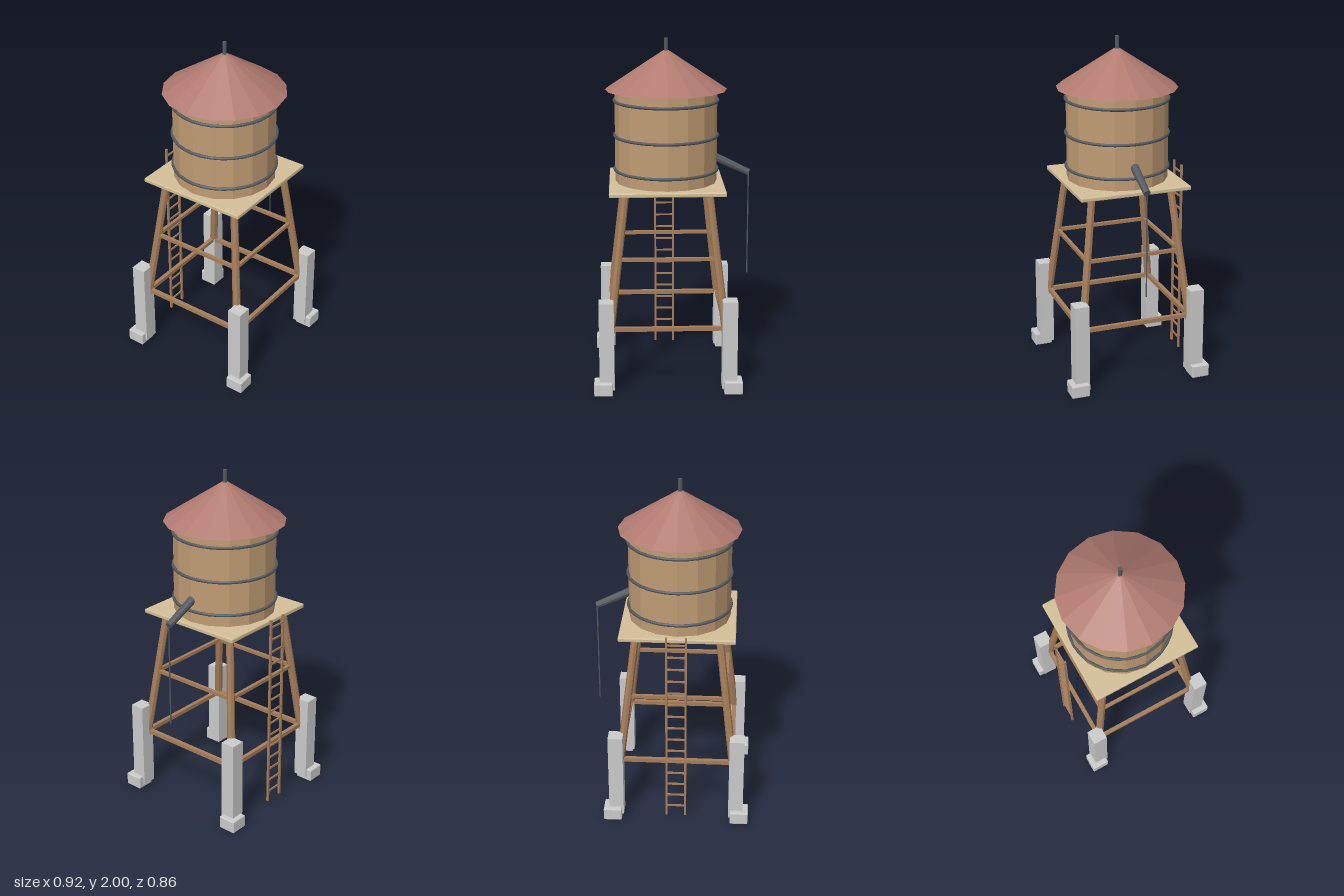
import * as THREE from 'three';
import { RoundedBoxGeometry } from 'three/addons/geometries/RoundedBoxGeometry.js';

const material = (color, flatShading = true) => new THREE.MeshStandardMaterial({ color, flatShading });
const concrete = material(0xcccccc);
const plank = material(0xd4bf98);
const barrel = material(0xc09c74);
const timber = material(0xa67e5a);
const roofing = material(0xb07a70);
const iron = material(0x555a60);
const ironSmooth = material(0x555a60, false);

export function createModel() {
  const model = new THREE.Group();
  model.name = 'waterTower';
  const tower = new THREE.Group();
  tower.name = 'tower';
  tower.position.x = -0.033;
  model.add(tower);

  const add = (name, geometry, mat, x = 0, y = 0, z = 0) => {
    const mesh = new THREE.Mesh(geometry, mat);
    mesh.name = name;
    mesh.position.set(x, y, z);
    tower.add(mesh);
    return mesh;
  };

  // Round bar from point a to point b, radius ra at a and rb at b
  const bar = (name, a, b, ra, rb, sides, mat) => {
    const start = new THREE.Vector3(...a), end = new THREE.Vector3(...b);
    const dir = end.clone().sub(start);
    const mesh = add(name, new THREE.CylinderGeometry(rb, ra, dir.length(), sides), mat);
    mesh.position.copy(start).add(end).multiplyScalar(0.5);
    mesh.quaternion.setFromUnitVectors(new THREE.Vector3(0, 1, 0), dir.normalize());
    return mesh;
  };

  // Leg distance from the tower axis at height y
  const spread = (y) => 0.238 + (1.15 - y) * 0.117;

  // Footings, pillars and splayed legs at the four corners
  for (const sx of [-1, 1]) {
    for (const sz of [-1, 1]) {
      add('footing', new RoundedBoxGeometry(0.107, 0.076, 0.107, 1, 0.006), concrete, sx * 0.374, 0.038, sz * 0.374);
      add('pillar', new THREE.BoxGeometry(0.086, 0.525, 0.086), concrete, sx * 0.353, 0.2875, sz * 0.353);
      const low = spread(0.35), high = spread(1.155);
      bar('leg', [sx * low, 0.35, sz * low], [sx * high, 1.155, sz * high], 0.024, 0.022, 8, timber);
    }
  }

  // Two rings of horizontal braces
  for (const [y, size] of [[0.373, 0.024], [0.775, 0.02]]) {
    const d = spread(y);
    for (const s of [-1, 1]) {
      add('braceAcross', new THREE.BoxGeometry(2 * d, size, size), timber, 0, y, s * d);
      add('braceAlong', new THREE.BoxGeometry(size, size, 2 * d), timber, s * d, y, 0);
    }
  }

  // Platform
  add('platform', new RoundedBoxGeometry(0.66, 0.026, 0.66, 1, 0.006), plank, 0, 1.162, 0);

  // Tank with three hoops
  add('tank', new THREE.CylinderGeometry(0.295, 0.295, 0.545, 16), barrel, 0, 1.4475, 0);
  for (const y of [1.245, 1.443, 1.645]) {
    add('hoop', new THREE.TorusGeometry(0.298, 0.009, 8, 32), ironSmooth, 0, y, 0).rotation.x = Math.PI / 2;
  }

  // Roof and finial
  add('roof', new THREE.CylinderGeometry(0.018, 0.35, 0.22, 16), roofing, 0, 1.818, 0);
  add('finial', new THREE.CylinderGeometry(0.012, 0.012, 0.09, 8), iron, 0, 1.955, 0);

  // Spout with hanging pull cord
  bar('spout', [0.24, 1.33, 0], [0.481, 1.215, 0], 0.026, 0.02, 10, iron);
  add('pullCord', new THREE.CylinderGeometry(0.004, 0.004, 0.61, 6), iron, 0.481, 0.905, 0);

  // Ladder on the back
  for (const s of [-1, 1]) {
    add('ladderRail', new THREE.BoxGeometry(0.012, 1.185, 0.013), timber, s * 0.055, 0.6205, -0.385);
  }
  for (let i = 0; i < 15; i++) {
    add('ladderRung', new THREE.BoxGeometry(0.11, 0.01, 0.008), timber, 0, 0.0925 + i * 0.0767, -0.385);
  }
  return model;
}
